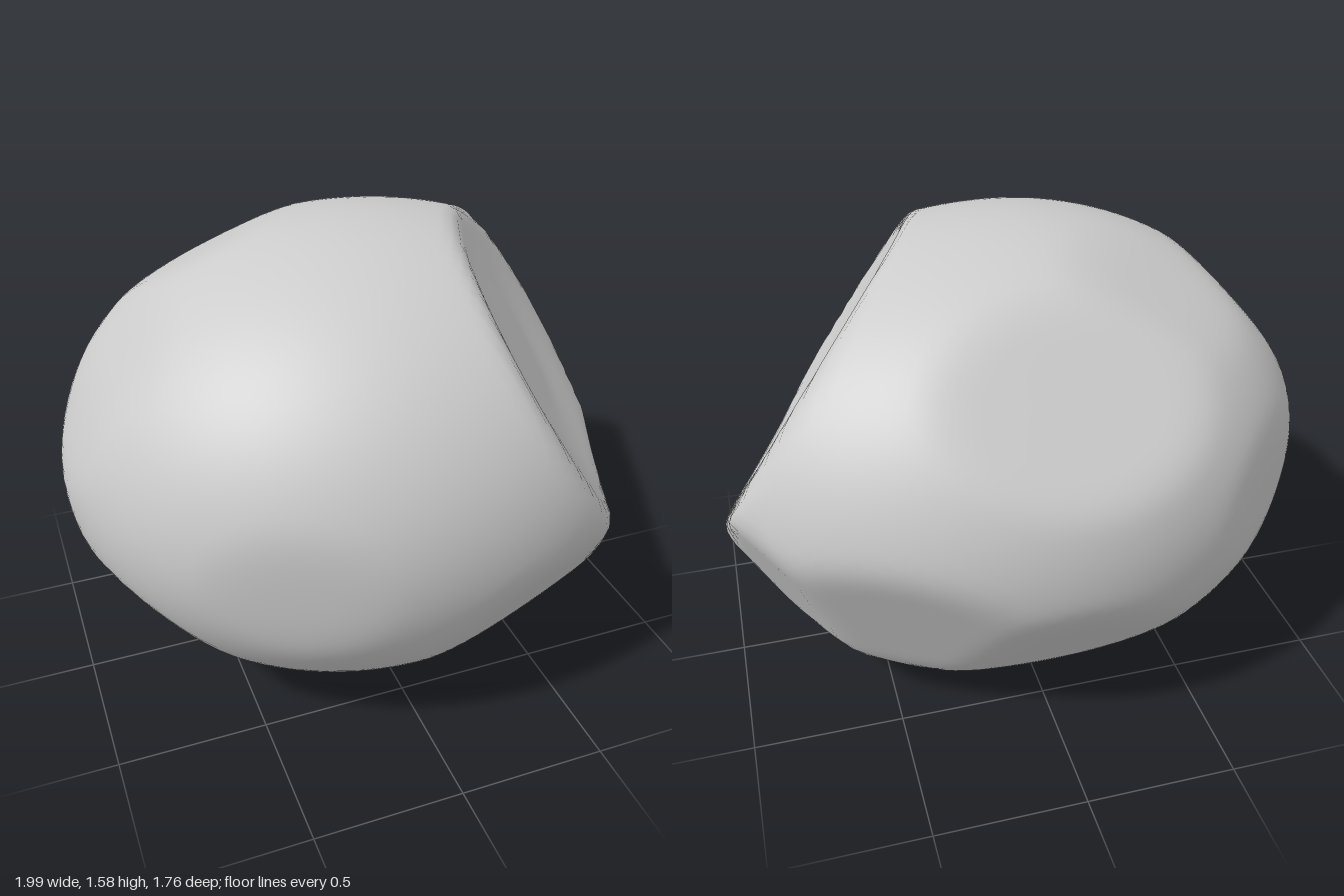
import * as THREE from 'three';
import { mergeVertices } from 'three/addons/utils/BufferGeometryUtils.js';

const HALF_HEIGHT = 0.788;

// Worn flats of the boulder: outward normal, distance from the centre, hollow depth
const flats = [
  { n: [0.8, 0.52, 0.31], d: 0.69, hollow: 0.035 }, // large broken face
  { n: [-0.05, 0.67, -0.74], d: 0.785, hollow: 0.01 }, // upper back
  { n: [-0.35, 0.87, -0.35], d: 0.8, hollow: 0 }, // top, back right
  { n: [0.3, -0.52, 0.8], d: 0.83, hollow: 0 }, // lower front
  { n: [0.4, -0.42, -0.8], d: 0.83, hollow: 0 }, // lower back, left
  { n: [0, -0.58, -0.81], d: 0.795, hollow: 0 }, // lower back, middle
  { n: [0.79, -0.43, -0.44], d: 0.915, hollow: 0 }, // lower back corner
  { n: [0.87, -0.48, 0], d: 0.98, hollow: 0 }, // lower left side
  { n: [0.9, -0.06, 0.42], d: 0.88, hollow: 0 }, // rim below the broken face
  { n: [1, 0, 0], d: 1, hollow: 0 }, // left tip
  { n: [-0.72, -0.65, 0.2], d: 0.86, hollow: 0 }, // lower right side
  { n: [-0.76, 0.65, 0], d: 0.882, hollow: 0 }, // upper right side
  { n: [-0.9, 0.43, 0], d: 0.935, hollow: 0 }, // right tip
  { n: [-0.71, 0, -0.71], d: 0.912, hollow: 0 }, // back right
  { n: [-0.42, -0.1, 0.9], d: 0.88, hollow: 0 }, // front right
].map((f) => ({ ...f, n: new THREE.Vector3(...f.n).normalize() }));

// Rounded minimum, so flats meet the body in soft edges
function softMin(a, b, k) {
  const h = Math.max(k - Math.abs(a - b), 0) / k;
  return Math.min(a, b) - h * h * k * 0.25;
}

// Distance from the centre to the surface along a direction
function radius(u) {
  const rx = u.x > 0 ? 1.11 : 1.0;
  let r = 1 / Math.hypot(u.x / rx, u.y / HALF_HEIGHT, u.z / 0.88);
  for (const { n, d, hollow } of flats) {
    const c = u.dot(n);
    if (c < 0.2) continue;
    const dish = hollow * THREE.MathUtils.smoothstep(c, 0.7, 0.95);
    r = softMin(r, (d - dish) / c, 0.035);
  }
  return r;
}

export function createModel() {
  let geo = new THREE.IcosahedronGeometry(1, 22);
  geo.deleteAttribute('normal');
  geo.deleteAttribute('uv');
  geo = mergeVertices(geo, 1e-4);

  const pos = geo.attributes.position;
  const u = new THREE.Vector3();
  for (let i = 0; i < pos.count; i++) {
    u.fromBufferAttribute(pos, i).normalize();
    u.multiplyScalar(radius(u));
    pos.setXYZ(i, u.x, u.y, u.z);
  }
  geo.computeVertexNormals();

  // Rest it on the ground
  geo.computeBoundingBox();
  geo.translate(0, -geo.boundingBox.min.y, 0);

  const stone = new THREE.MeshStandardMaterial({ color: 0xcccccc });
  stone.name = 'pale stone';
  const boulder = new THREE.Mesh(geo, stone);
  boulder.name = 'boulder';
  const group = new THREE.Group();
  group.name = 'rock';
  group.add(boulder);
  return group;
}
